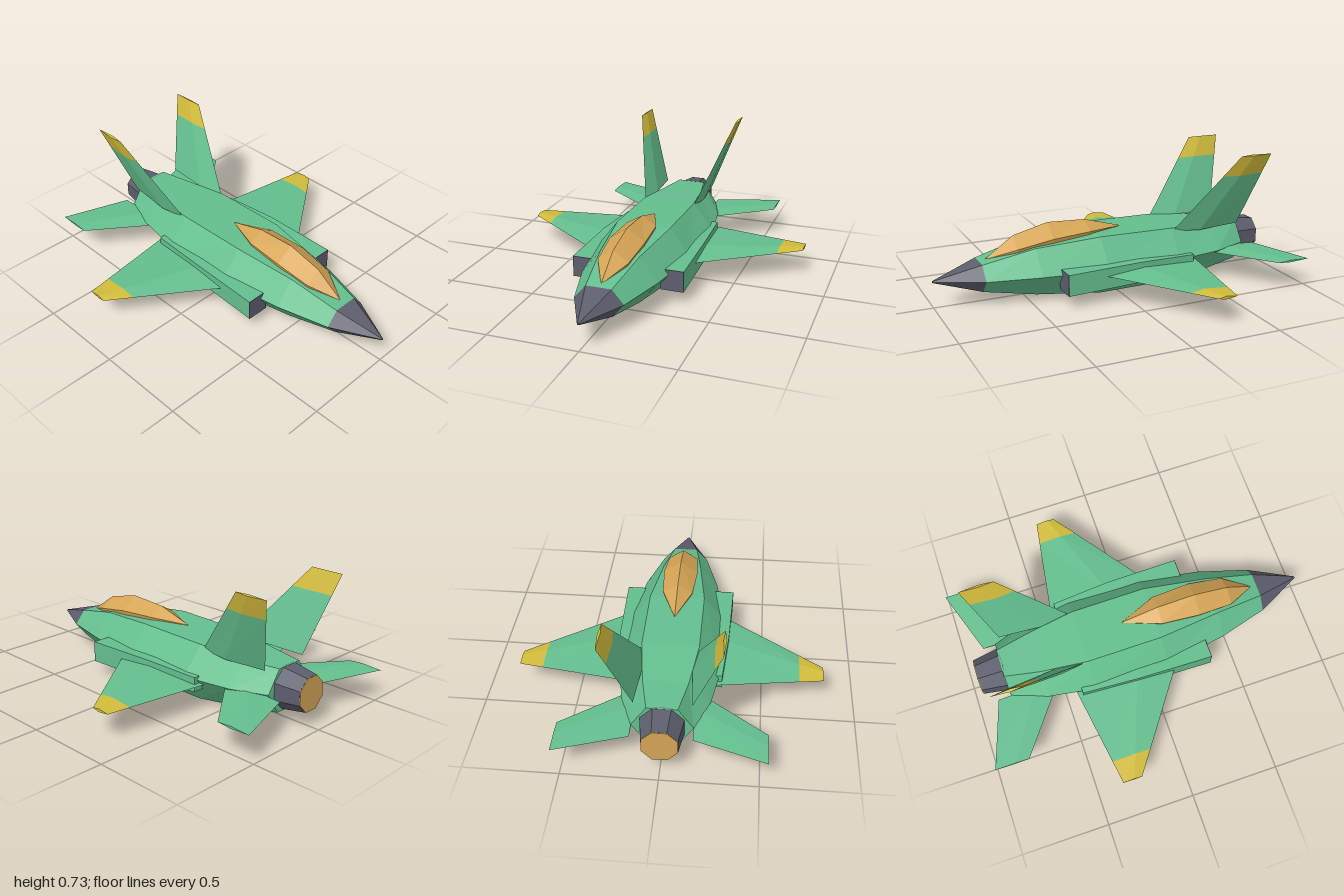
import * as THREE from 'three';

const V = (x, y, z) => new THREE.Vector3(x, y, z);

// Faceted solid through a list of equal-length rings, closed at both ends.
function loft(rings) {
  const tris = [];
  const n = rings[0].length;
  const add = (a, b, c) => {
    const area = b.clone().sub(a).cross(c.clone().sub(a)).length();
    if (area > 1e-8) tris.push([a, b, c]);
  };
  for (let i = 0; i < rings.length - 1; i++) {
    for (let j = 0; j < n; j++) {
      const k = (j + 1) % n;
      add(rings[i][j], rings[i + 1][j], rings[i + 1][k]);
      add(rings[i][j], rings[i + 1][k], rings[i][k]);
    }
  }
  const last = rings[rings.length - 1];
  for (let j = 1; j < n - 1; j++) {
    add(rings[0][0], rings[0][j], rings[0][j + 1]);
    add(last[0], last[j + 1], last[j]);
  }
  // turn the faces outward whichever way the rings run
  let volume = 0;
  for (const [a, b, c] of tris) volume += a.dot(b.clone().cross(c));
  const pos = [];
  for (const [a, b, c] of tris) {
    for (const p of volume < 0 ? [a, c, b] : [a, b, c]) pos.push(p.x, p.y, p.z);
  }
  const g = new THREE.BufferGeometry();
  g.setAttribute('position', new THREE.Float32BufferAttribute(pos, 3));
  g.computeVertexNormals();
  return g;
}

// Diamond-section ring between a leading and a trailing edge.
function foil(le, te, up, half) {
  const ridge = le.clone().lerp(te, 0.4);
  const off = up.clone().multiplyScalar(half);
  return [le, ridge.clone().add(off), te, ridge.clone().sub(off)];
}

const blend = (a, b, t) => a.map((p, i) => p.clone().lerp(b[i], t));
const flip = (rings, s) => rings.map((r) => r.map((p) => V(p.x * s, p.y, p.z)));

export function createModel() {
  const model = new THREE.Group();
  model.name = 'jet';
  const paint = (name, color) => {
    const m = new THREE.MeshStandardMaterial({ color });
    m.name = name;
    return m;
  };
  const green = paint('body green', 0x64bf8e);
  const grey = paint('dark grey', 0x5c5e6d);
  const amber = paint('amber', 0xd6a556);
  const yellow = paint('tip yellow', 0xd2bc3c);

  const mesh = (name, geometry, material) => {
    const m = new THREE.Mesh(geometry, material);
    m.name = name;
    model.add(m);
    return m;
  };
  const pair = (name, rings, material) => {
    mesh('left' + name, loft(flip(rings, 1)), material);
    mesh('right' + name, loft(flip(rings, -1)), material);
  };

  // Fuselage: six-sided sections [z, top half width, side half width, bottom y, side y, top y]
  const hex = ([z, t, w, y0, y1, y2]) => [
    V(w, y1, z), V(t, y2, z), V(-t, y2, z), V(-w, y1, z), V(-t, y0, z), V(t, y0, z),
  ];
  const sections = [
    [0.745, 0.07, 0.135, 0.075, 0.15, 0.225],
    [0.46, 0.11, 0.215, 0.03, 0.16, 0.29],
    [0.1, 0.155, 0.275, 0, 0.165, 0.322],
    [-0.33, 0.155, 0.28, 0.005, 0.17, 0.317],
    [-0.6, 0.12, 0.235, 0.032, 0.172, 0.298],
    [-0.8, 0.08, 0.16, 0.055, 0.175, 0.295],
  ].map(hex);
  mesh('fuselage', loft(sections), green);
  mesh('noseCone', loft([hex([1, 0.003, 0.005, 0.142, 0.146, 0.15]), sections[0]]), grey);

  // Canopy: ridge on top, widest line low on each side, tucked into the fuselage
  const canopy = [
    [0.71, 0.002, 0.233, 0.23, 0.225],
    [0.55, 0.085, 0.345, 0.288, 0.25],
    [0.35, 0.1, 0.395, 0.325, 0.27],
    [0.13, 0.085, 0.385, 0.336, 0.29],
    [-0.08, 0.002, 0.325, 0.322, 0.318],
  ].map(([z, w, top, mid, low]) => [
    V(0, top, z), V(-w, mid, z), V(-w * 0.85, low, z), V(w * 0.85, low, z), V(w, mid, z),
  ]);
  mesh('canopy', loft(canopy), amber);

  // Engine nozzle with its glowing exit
  const octagon = (r, z) => Array.from({ length: 8 }, (_, i) => {
    const a = (i + 0.5) * Math.PI / 4;
    return V(r * Math.cos(a), 0.18 + r * Math.sin(a), z);
  });
  mesh('nozzle', loft([octagon(0.125, -0.79), octagon(0.1, -0.942)]), grey);
  mesh('nozzleExit', loft([octagon(0.099, -0.941), octagon(0.099, -0.946)]), amber);

  // Side intakes with dark mouths
  const box = ([z, x0, x1, y0, y1]) => [V(x0, y0, z), V(x1, y0, z), V(x1, y1, z), V(x0, y1, z)];
  pair('Intake', [
    [0.35, 0.19, 0.317, 0.072, 0.19],
    [-0.08, 0.19, 0.308, 0.085, 0.2],
    [-0.41, 0.2, 0.285, 0.11, 0.19],
  ].map(box), green);
  pair('IntakeMouth', [
    [0.354, 0.19, 0.317, 0.072, 0.19],
    [0.35, 0.19, 0.317, 0.072, 0.19],
  ].map(box), grey);

  // Main wings with coloured tips
  const up = V(0, 1, 0);
  const wingRoot = foil(V(0.24, 0.149, 0.18), V(0.24, 0.149, -0.443), up, 0.022);
  const wingTip = foil(V(0.83, 0.147, -0.245), V(0.83, 0.147, -0.354), up, 0.009);
  const wingBand = blend(wingRoot, wingTip, 0.78);
  pair('Wing', [wingRoot, wingBand], green);
  pair('WingTip', [wingBand, wingTip], yellow);

  // Tailplanes
  pair('Tailplane', [
    foil(V(0.16, 0.163, -0.518), V(0.16, 0.163, -0.873), up, 0.014),
    foil(V(0.538, 0.163, -0.805), V(0.538, 0.163, -1), up, 0.006),
  ], green);

  // Canted fins with coloured tips
  const out = V(0.95, -0.32, 0);
  const finRoot = foil(V(0.15, 0.295, -0.345), V(0.15, 0.295, -0.765), out, 0.02);
  const finTip = foil(V(0.299, 0.725, -0.69), V(0.299, 0.725, -0.882), out, 0.008);
  const finBand = blend(finRoot, finTip, 0.735);
  pair('Fin', [finRoot, finBand], green);
  pair('FinTip', [finBand, finTip], yellow);

  return model;
}
